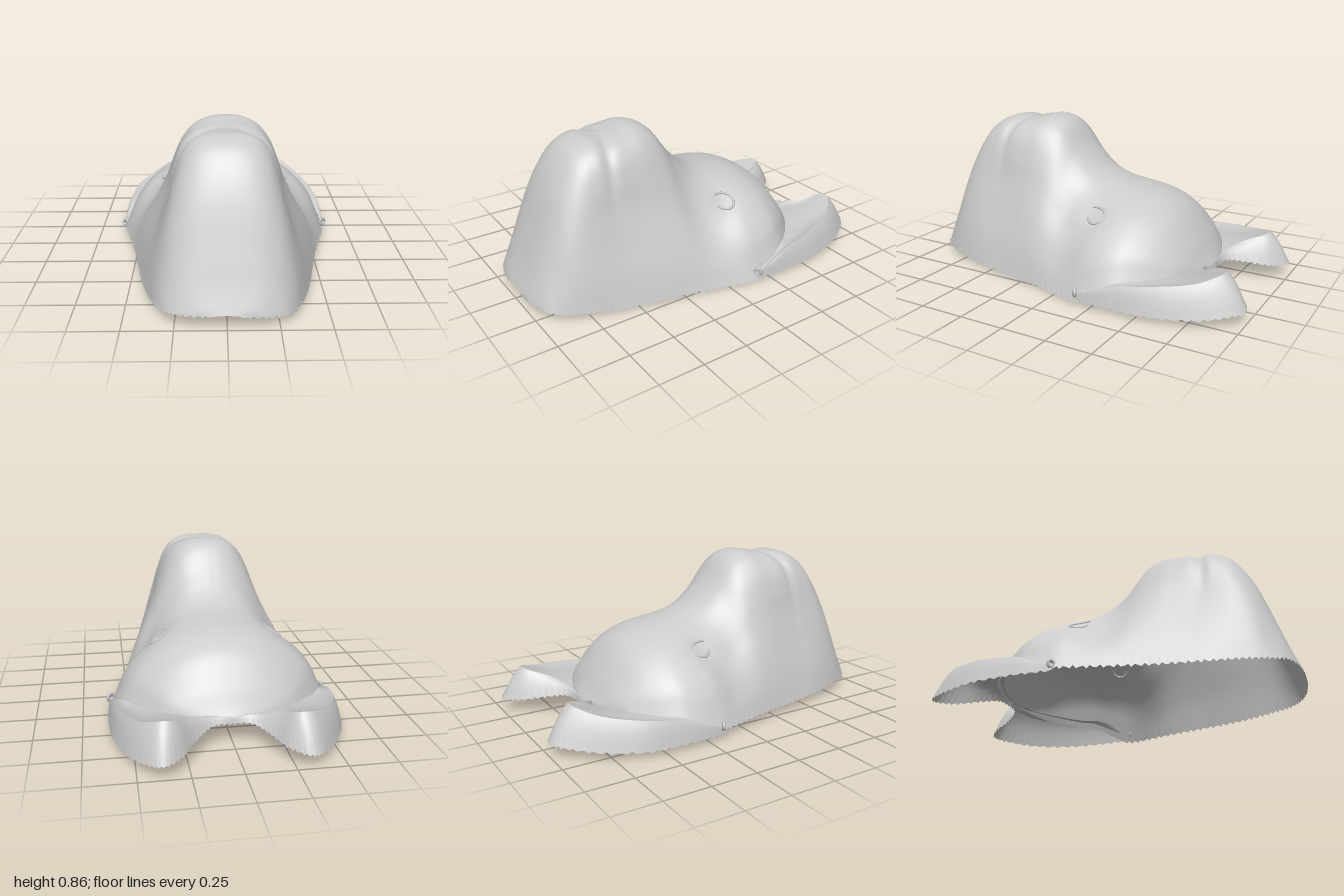
import * as THREE from 'three';

const material = new THREE.MeshStandardMaterial({ color: 0xcccccc, side: THREE.DoubleSide });
const { clamp, smoothstep } = THREE.MathUtils;

// Smooth lookup in a table of rows [key, value, value...]
function sample(table, k) {
  const n = table.length - 1, dir = Math.sign(table[n][0] - table[0][0]);
  let i = 0;
  while (i < n - 1 && (k - table[i + 1][0]) * dir > 0) i++;
  const a = table[i], b = table[i + 1], d = b[0] - a[0];
  const p = table[Math.max(i - 1, 0)], q = table[Math.min(i + 2, n)];
  const t = clamp((k - a[0]) / d, 0, 1), t2 = t * t, t3 = t2 * t;
  return a.slice(1).map((v, j) => {
    const w = b[j + 1];
    const m0 = (w - p[j + 1]) / (b[0] - p[0]) * d, m1 = (q[j + 1] - v) / (q[0] - a[0]) * d;
    return v * (2 * t3 - 3 * t2 + 1) + m0 * (t3 - 2 * t2 + t) + w * (3 * t2 - 2 * t3) + m1 * (t3 - t2);
  });
}

// Surface over a grid of points; point(i, j) returns [x, y, z]
function gridMesh(name, rows, cols, point) {
  const pos = [], index = [];
  for (let i = 0; i <= rows; i++) for (let j = 0; j <= cols; j++) pos.push(...point(i, j));
  for (let i = 0; i < rows; i++) for (let j = 0; j < cols; j++) {
    const a = i * (cols + 1) + j, c = a + cols + 1;
    index.push(a, c, a + 1, a + 1, c, c + 1);
  }
  const g = new THREE.BufferGeometry();
  g.setAttribute('position', new THREE.Float32BufferAttribute(pos, 3));
  g.setIndex(index);
  g.computeVertexNormals();
  const mesh = new THREE.Mesh(g, material);
  mesh.name = name;
  return mesh;
}

// Along the head: z, half width, rim height
const WIDTH = [[1, 0.08, 0.07], [0.985, 0.18, 0.065], [0.95, 0.27, 0.06], [0.9, 0.32, 0.05], [0.8, 0.37, 0.045],
  [0.6, 0.43, 0.035], [0.4, 0.47, 0.03], [0.2, 0.51, 0.03], [0, 0.56, 0.03], [-0.13, 0.595, 0.03],
  [-0.2, 0.6, 0.035], [-0.28, 0.585, 0.07], [-0.36, 0.55, 0.11], [-0.45, 0.49, 0.115], [-0.55, 0.395, 0.12],
  [-0.6, 0.33, 0.12], [-0.65, 0.2, 0.125], [-0.68, 0.06, 0.13]];
// Centre line: z, height
const RIDGE = [[1, 0.08], [0.95, 0.2], [0.9, 0.34], [0.8, 0.61], [0.7, 0.77], [0.6, 0.83], [0.5, 0.835],
  [0.4, 0.845], [0.3, 0.86], [0.2, 0.82], [0.1, 0.69], [0, 0.59], [-0.1, 0.54], [-0.3, 0.5], [-0.4, 0.465],
  [-0.5, 0.4], [-0.6, 0.27], [-0.65, 0.185], [-0.68, 0.14]];
// Half cross-sections: step, then width and height fractions from rim to top
const CHIN = [[0, 1, 0], [1, 0.94, 0.2], [2, 0.86, 0.4], [3, 0.76, 0.6], [4, 0.65, 0.75], [5, 0.52, 0.87],
  [6, 0.36, 0.95], [7, 0.18, 0.99], [8, 0, 1]];
const MUZZLE = [[0, 1, 0], [1, 0.9, 0.2], [2, 0.77, 0.4], [3, 0.65, 0.6], [4, 0.585, 0.75], [5, 0.5, 0.88],
  [6, 0.37, 0.96], [7, 0.18, 0.995], [8, 0, 1]];
const BRIDGE = [[0, 1, 0], [1, 0.92, 0.18], [2, 0.8, 0.36], [3, 0.65, 0.53], [4, 0.53, 0.68], [5, 0.41, 0.82],
  [6, 0.28, 0.93], [7, 0.14, 0.985], [8, 0, 1]];
const BROW = [[0, 1, 0], [1, 0.94, 0.18], [2, 0.87, 0.38], [3, 0.77, 0.55], [4, 0.61, 0.735], [5, 0.44, 0.87],
  [6, 0.28, 0.95], [7, 0.13, 0.99], [8, 0, 1]];

// Section at z is a blend of two neighbouring profiles
const STATIONS = [[0.85, CHIN], [0.5, MUZZLE], [0.08, BRIDGE], [-0.2, BROW]];
function section(z, k) {
  let i = 0;
  while (i < 2 && z < STATIONS[i + 1][0]) i++;
  const [z0, A] = STATIONS[i], [z1, B] = STATIONS[i + 1];
  const t = smoothstep((z0 - z) / (z0 - z1), 0, 1);
  const a = sample(A, k), b = sample(B, k);
  return a.map((v, j) => v + (b[j] - v) * t);
}

// Point on the head; u runs from 1 (left rim) over 0 (top) to -1 (right rim)
function headPoint(z, u) {
  const [w, rim] = sample(WIDTH, z), [h] = sample(RIDGE, z);
  const [fx, fy] = section(z, 8 * (1 - Math.abs(u)));
  let x = Math.sign(u) * w * fx;
  let y = rim + (h - rim) * fy - 0.03 * x * (1 - fy) * smoothstep(z, -0.3, -0.1);
  // mouth groove between chin and nose, fading down the cheeks
  const line = 0.46 + 0.3 * Math.abs(x);
  const groove = Math.exp(-(((z - line) / 0.03) ** 2)) * smoothstep(fy, 0.5, 0.95);
  x *= 1 - 0.03 * groove;
  y -= 0.015 * groove * Math.min(1, 0.3 + Math.abs(x) * 5);
  // shallow eye sockets
  y -= 0.025 * Math.exp(-(((Math.abs(x) - 0.34) / 0.08) ** 2) - ((z + 0.12) / 0.08) ** 2);
  return [x, y, z];
}

// Ear columns: step, outline x y z, ridge x y z, base x y z (tucked under the head)
const EAR = [
  [0, 0.604, 0.03, -0.15, 0.6, 0.06, -0.17, 0.575, 0.1, -0.2],
  [1, 0.615, 0.03, -0.35, 0.585, 0.14, -0.36, 0.52, 0.15, -0.34],
  [2, 0.6, 0.03, -0.58, 0.555, 0.17, -0.56, 0.47, 0.145, -0.41],
  [3, 0.54, 0.04, -0.8, 0.485, 0.2, -0.76, 0.41, 0.145, -0.48],
  [4, 0.45, 0.06, -0.95, 0.41, 0.235, -0.86, 0.35, 0.145, -0.53],
  [5, 0.37, 0.07, -0.995, 0.36, 0.245, -0.88, 0.3, 0.145, -0.57],
  [6, 0.28, 0.08, -0.93, 0.31, 0.235, -0.86, 0.25, 0.145, -0.6],
  [7, 0.2, 0.1, -0.81, 0.24, 0.2, -0.76, 0.18, 0.14, -0.63],
  [8, 0.11, 0.12, -0.72, 0.14, 0.16, -0.68, 0.1, 0.14, -0.65],
  [9, 0, 0.12, -0.7, 0, 0.145, -0.69, 0, 0.14, -0.66]];

function ear(side) {
  const group = new THREE.Group(), steps = 90;
  group.name = side > 0 ? 'leftEar' : 'rightEar';
  const strip = (name, from, rows, bend) => gridMesh(name, steps, rows, (i, j) => {
    const c = sample(EAR, 9 * (side > 0 ? i : steps - i) / steps), v = j / rows;
    const p = [0, 1, 2].map(n => c[from + n] + (c[from + 3 + n] - c[from + n]) * v);
    p[1] += bend * Math.sin(Math.PI * v);
    if (from === 0 && j === 0) p[1] += 0.007 * Math.sin(i * 2.4);
    // the right ear leans a little inward
    if (side < 0) p[0] -= 0.05 * smoothstep(-p[2], 0.55, 0.95);
    return [side * p[0], p[1], p[2]];
  });
  group.add(strip('earEdge', 0, 5, 0.02), strip('earPanel', 3, 8, -0.015));
  return group;
}

export function createModel() {
  const model = new THREE.Group();
  model.name = 'animalMask';

  // Hollow face shell with a ragged rim
  const rings = 160, cols = 80;
  model.add(gridMesh('faceShell', rings, cols, (i, j) => {
    const z = 0.16 + 0.84 * Math.cos(Math.PI * i / rings);
    const p = headPoint(z, 1 - 2 * j / cols);
    if ((j === 0 || j === cols) && z > -0.2) p[1] += 0.009 * Math.sin(i * 2.4 + j);
    return p;
  }));

  for (const side of [1, -1]) {
    model.add(ear(side));

    // Broken raised rim around the eye, laid in the socket
    const path = [];
    for (let i = 0; i <= 16; i++) {
      const a = 0.6 + 4.9 * i / 16;
      const [x, y, z] = headPoint(-0.125 + 0.055 * Math.cos(a), side * (0.46 + 0.05 * Math.sin(a)));
      path.push(new THREE.Vector3(x, y, z));
    }
    const eye = new THREE.Mesh(
      new THREE.TubeGeometry(new THREE.CatmullRomCurve3(path), 32, 0.007, 6), material);
    eye.name = 'eyeRim';
    model.add(eye);

    // Small strap lug at the side
    const lug = new THREE.Mesh(new THREE.TorusGeometry(0.018, 0.01, 5, 8), material);
    lug.name = 'strapLug';
    lug.position.set(side * 0.598, 0.07, -0.16);
    lug.rotation.y = 0.6 * side;
    model.add(lug);
  }
  return model;
}
